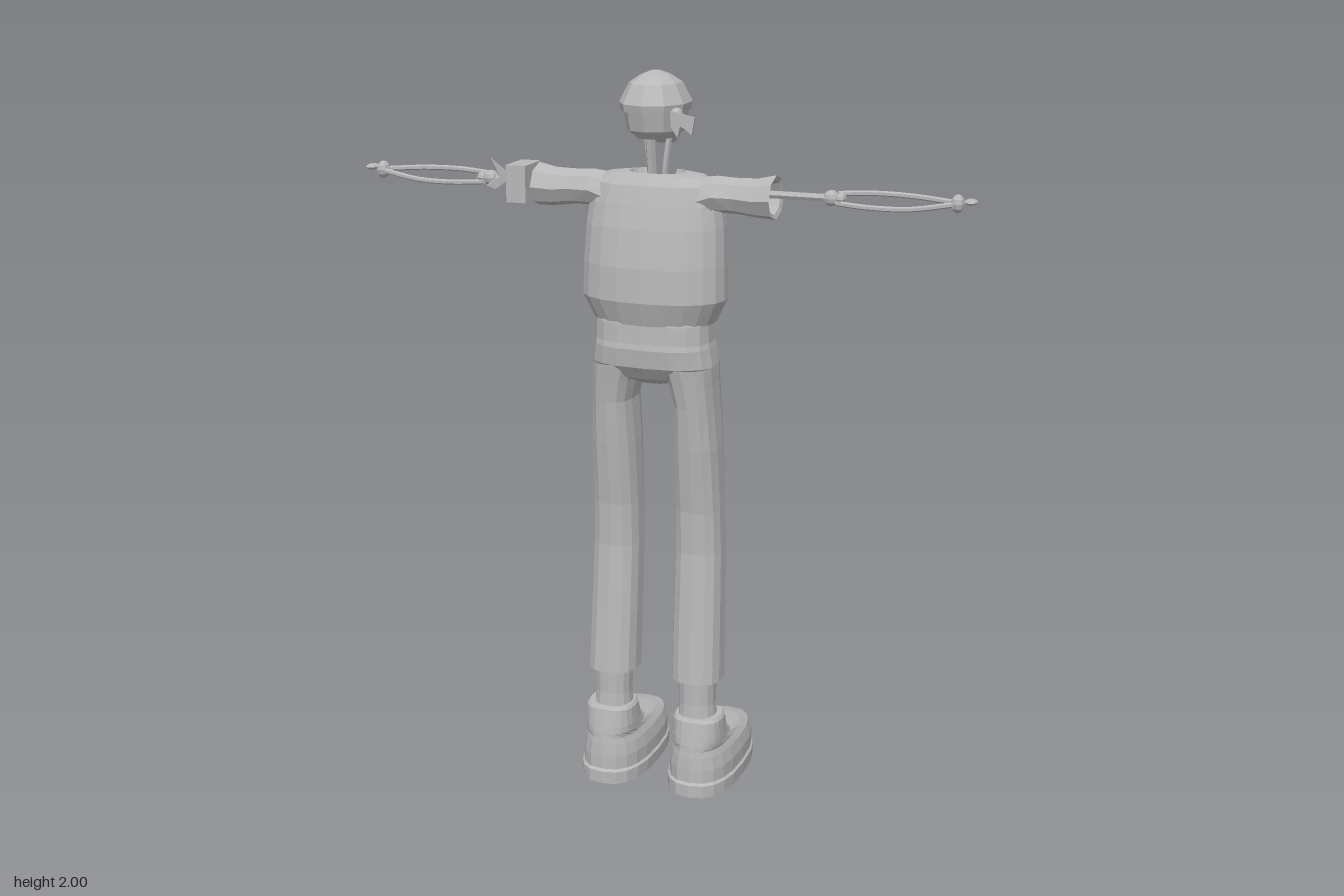
import * as THREE from 'three';

const grey = new THREE.MeshStandardMaterial({ color: 0xb8b8b8, side: THREE.DoubleSide });
grey.name = 'plainGrey';

// Faceted skin through stacked rings; each ring is [y, xCentre, xRadius, zFront, zBack].
function loft(rings, { n = 14, p = 2.3, gap = 0, bottom = false, top = false } = {}) {
  const pos = [], idx = [], row = n + 1;
  const pow = (v) => Math.sign(v) * Math.abs(v) ** (2 / p);
  for (const [y, xc, rx, zf, zb] of rings) {
    for (let i = 0; i <= n; i++) {
      const t = -Math.PI / 2 + gap + (i / n) * (Math.PI * 2 - gap * 2);
      pos.push(xc + rx * pow(Math.cos(t)), y, (zf + zb) / 2 + (zb - zf) / 2 * pow(Math.sin(t)));
    }
  }
  for (let j = 0; j < rings.length - 1; j++) {
    for (let i = 0; i < n; i++) {
      const a = j * row + i, b = a + 1, c = a + row, d = c + 1;
      idx.push(a, c, b, b, c, d);
    }
  }
  const cap = (j, up) => {
    const [y, xc, , zf, zb] = rings[j], k = pos.length / 3;
    pos.push(xc, y, (zf + zb) / 2);
    for (let i = 0; i < n; i++) {
      const a = j * row + i;
      up ? idx.push(k, a + 1, a) : idx.push(k, a, a + 1);
    }
  };
  if (bottom) cap(0, false);
  if (top) cap(rings.length - 1, true);
  const g = new THREE.BufferGeometry();
  g.setAttribute('position', new THREE.Float32BufferAttribute(pos, 3));
  g.setIndex(idx);
  return facet(g);
}

function facet(g) {
  const f = g.index ? g.toNonIndexed() : g;
  f.computeVertexNormals();
  return f;
}

function add(parent, name, geometry) {
  const m = new THREE.Mesh(geometry, grey);
  m.name = name;
  parent.add(m);
  return m;
}

function tube(points, r, sides = 6, steps = 8) {
  const curve = new THREE.CatmullRomCurve3(points.map((q) => new THREE.Vector3(...q)));
  return facet(new THREE.TubeGeometry(curve, steps, r, sides));
}

function ball(parent, name, at, size) {
  const m = add(parent, name, facet(new THREE.SphereGeometry(1, 8, 6)));
  m.position.set(...at);
  m.scale.set(...size);
}

// Pointed cloth tail, drawn in the x-y plane
function clothTail(parent, name, points, z) {
  const shape = new THREE.Shape(points.map((q) => new THREE.Vector2(...q)));
  add(parent, name, new THREE.ExtrudeGeometry(shape, { depth: 0.008, bevelEnabled: false })).position.z = z;
}

function makeLeg() {
  const leg = new THREE.Group();
  add(leg, 'trouserLeg', loft([
    [0.33, 0.124, 0.07, 0.01, 0.16], [0.5, 0.122, 0.069, 0, 0.145], [0.7, 0.12, 0.067, -0.013, 0.128],
    [0.82, 0.119, 0.065, -0.015, 0.132], [1.0, 0.118, 0.062, -0.012, 0.155], [1.12, 0.117, 0.055, -0.011, 0.168],
    [1.18, 0.109, 0.06, -0.012, 0.177], [1.23, 0.1, 0.068, -0.015, 0.185],
  ], { p: 2.6, bottom: true }));
  add(leg, 'ankle', loft([[0.2, 0.126, 0.055, 0.035, 0.15], [0.26, 0.125, 0.05, 0.04, 0.145],
    [0.35, 0.125, 0.052, 0.04, 0.145]]));
  // Boot: thick sole, then an upper that pulls back from the toe to the shaft
  add(leg, 'bootSole', loft([[0, 0.13, 0.098, -0.213, 0.187], [0.036, 0.13, 0.1, -0.212, 0.187],
    [0.042, 0.13, 0.093, -0.205, 0.18]], { n: 20, p: 2.6, bottom: true, top: true }));
  add(leg, 'bootUpper', loft([
    [0.038, 0.13, 0.094, -0.208, 0.18], [0.08, 0.13, 0.095, -0.207, 0.179], [0.115, 0.13, 0.087, -0.192, 0.176],
    [0.133, 0.13, 0.076, -0.13, 0.173], [0.147, 0.13, 0.073, -0.03, 0.171], [0.165, 0.13, 0.072, 0.005, 0.168],
    [0.215, 0.13, 0.07, 0.028, 0.16], [0.224, 0.13, 0.064, 0.034, 0.154],
  ], { n: 20, p: 2.6, top: true }));
  return leg;
}

function makeArm() {
  const arm = new THREE.Group(), y = 1.695, z = 0.083;
  // Sleeve is lofted upward, then laid along x
  const sleeve = loft([
    [0.1, -1.665, 0.062, 0.02, 0.15], [0.17, -1.688, 0.048, 0.025, 0.148], [0.225, -1.687, 0.047, 0.035, 0.142],
    [0.28, -1.684, 0.051, 0.028, 0.147], [0.33, -1.688, 0.058, 0.018, 0.157], [0.325, -1.688, 0.045, 0.032, 0.143],
    [0.27, -1.686, 0.036, 0.04, 0.13],
  ], { n: 8, p: 2 });
  add(arm, 'sleeve', sleeve.rotateZ(-Math.PI / 2));
  add(arm, 'upperArmBone', tube([[0.2, y, z], [0.32, y, z], [0.46, y, z]], 0.0105));
  ball(arm, 'elbowJoint', [0.475, y, z], [0.022, 0.021, 0.021]);
  ball(arm, 'elbowKnob', [0.5, y, z], [0.014, 0.016, 0.023]);
  for (const s of [-1, 1]) {
    add(arm, 'forearmBone', tube([[0.49, y - s * 0.01, z + s * 0.014], [0.57, y - s * 0.015, z + s * 0.021],
      [0.68, y - s * 0.014, z + s * 0.019], [0.8, y + 0.005, z + s * 0.01]], 0.007));
  }
  ball(arm, 'wristJoint', [0.8, y + 0.005, z], [0.018, 0.024, 0.022]);
  ball(arm, 'handBone', [0.833, y + 0.011, z], [0.018, 0.008, 0.026]);
  return arm;
}

export function createModel() {
  const model = new THREE.Group();

  for (const s of [1, -1]) {
    const side = new THREE.Group();
    side.name = s > 0 ? 'leftLimbs' : 'rightLimbs';
    side.scale.x = s;
    const leg = makeLeg(), arm = makeArm();
    leg.name = 'leg';
    arm.name = 'arm';
    side.add(leg, arm);
    model.add(side);
  }

  // Trouser seat, waistband and buckle
  add(model, 'trouserSeat', loft([
    [1.175, 0, 0.05, 0.03, 0.13], [1.195, 0, 0.12, 0, 0.165], [1.23, 0, 0.171, -0.018, 0.19],
    [1.28, 0, 0.163, -0.022, 0.197], [1.3, 0, 0.158, -0.02, 0.193],
  ], { n: 18, p: 2.7, bottom: true }));
  add(model, 'waistband', loft([[1.295, 0, 0.161, -0.021, 0.195], [1.345, 0, 0.16, -0.018, 0.192],
    [1.37, 0, 0.155, -0.012, 0.186]], { n: 18, p: 2.7 }));
  ball(model, 'buckle', [0, 1.315, -0.02], [0.03, 0.018, 0.009]);

  // Shirt inside an open-fronted jacket
  add(model, 'shirt', loft([
    [1.345, 0, 0.153, -0.01, 0.175], [1.41, 0, 0.18, -0.014, 0.19], [1.5, 0, 0.178, -0.016, 0.19],
    [1.6, 0, 0.172, -0.012, 0.175], [1.66, 0, 0.15, 0, 0.155], [1.7, 0, 0.085, 0.015, 0.135],
  ], { n: 18 }));
  add(model, 'jacket', loft([
    [1.345, 0, 0.166, -0.02, 0.192], [1.41, 0, 0.198, -0.031, 0.213], [1.5, 0, 0.196, -0.032, 0.209],
    [1.6, 0, 0.191, -0.028, 0.193], [1.66, 0, 0.183, -0.015, 0.178], [1.71, 0, 0.168, 0.005, 0.163],
    [1.733, 0, 0.135, 0.018, 0.148], [1.738, 0, 0.075, 0.018, 0.125], [1.7, 0, 0.065, 0.03, 0.115],
  ], { n: 18, gap: 0.45 }));

  // Neck bones, spreading towards the skull
  add(model, 'spine', tube([[0, 1.62, 0.1], [0, 1.74, 0.115], [0, 1.86, 0.135]], 0.013));
  for (const s of [1, -1]) {
    add(model, 'neckBone', tube([[s * 0.016, 1.64, 0.06], [s * 0.021, 1.74, 0.075], [s * 0.036, 1.86, 0.07]], 0.008));
  }

  // Skull with wrapped scarf
  add(model, 'skull', loft([
    [1.83, 0, 0.052, 0.02, 0.15], [1.85, 0, 0.075, -0.01, 0.17], [1.915, 0, 0.085, -0.02, 0.185],
  ], { n: 10, p: 2.1, bottom: true }));
  add(model, 'jaw', loft([[1.805, 0, 0.026, -0.018, 0.03], [1.825, 0, 0.042, -0.021, 0.055],
    [1.87, 0, 0.055, -0.02, 0.07]], { n: 8, bottom: true }));
  add(model, 'headScarf', loft([
    [1.9, 0, 0.089, -0.022, 0.193], [1.92, 0, 0.093, -0.027, 0.197], [1.97, 0, 0.067, 0, 0.168],
    [1.99, 0, 0.038, 0.04, 0.128], [2.0, 0, 0.012, 0.072, 0.1],
  ], { n: 10, p: 2.1, top: true }));
  ball(model, 'scarfKnot', [0.082, 1.9, 0.155], [0.016, 0.016, 0.02]);
  clothTail(model, 'scarfTail', [[0.075, 1.91], [0.14, 1.895], [0.132, 1.85], [0.115, 1.865], [0.085, 1.88]], 0.175);
  clothTail(model, 'scarfTail', [[0.07, 1.905], [0.1, 1.88], [0.09, 1.84], [0.072, 1.87]], 0.165);

  // Knotted band on the right arm
  add(model, 'armBand', new THREE.BoxGeometry(0.056, 0.1, 0.105)).position.set(-0.38, 1.69, 0.083);
  const tails = new THREE.Group();
  tails.name = 'armBandTails';
  tails.position.set(-0.41, 1.7, 0.13);
  tails.rotation.y = 0.7;
  clothTail(tails, 'armBandTail', [[0, 0], [-0.02, 0.012], [-0.045, 0.065], [-0.012, 0.035], [0.005, 0.02]], 0);
  clothTail(tails, 'armBandTail', [[0, 0], [-0.035, -0.022], [-0.055, -0.01], [-0.02, 0.012]], 0.006);
  model.add(tails);

  return model;
}
